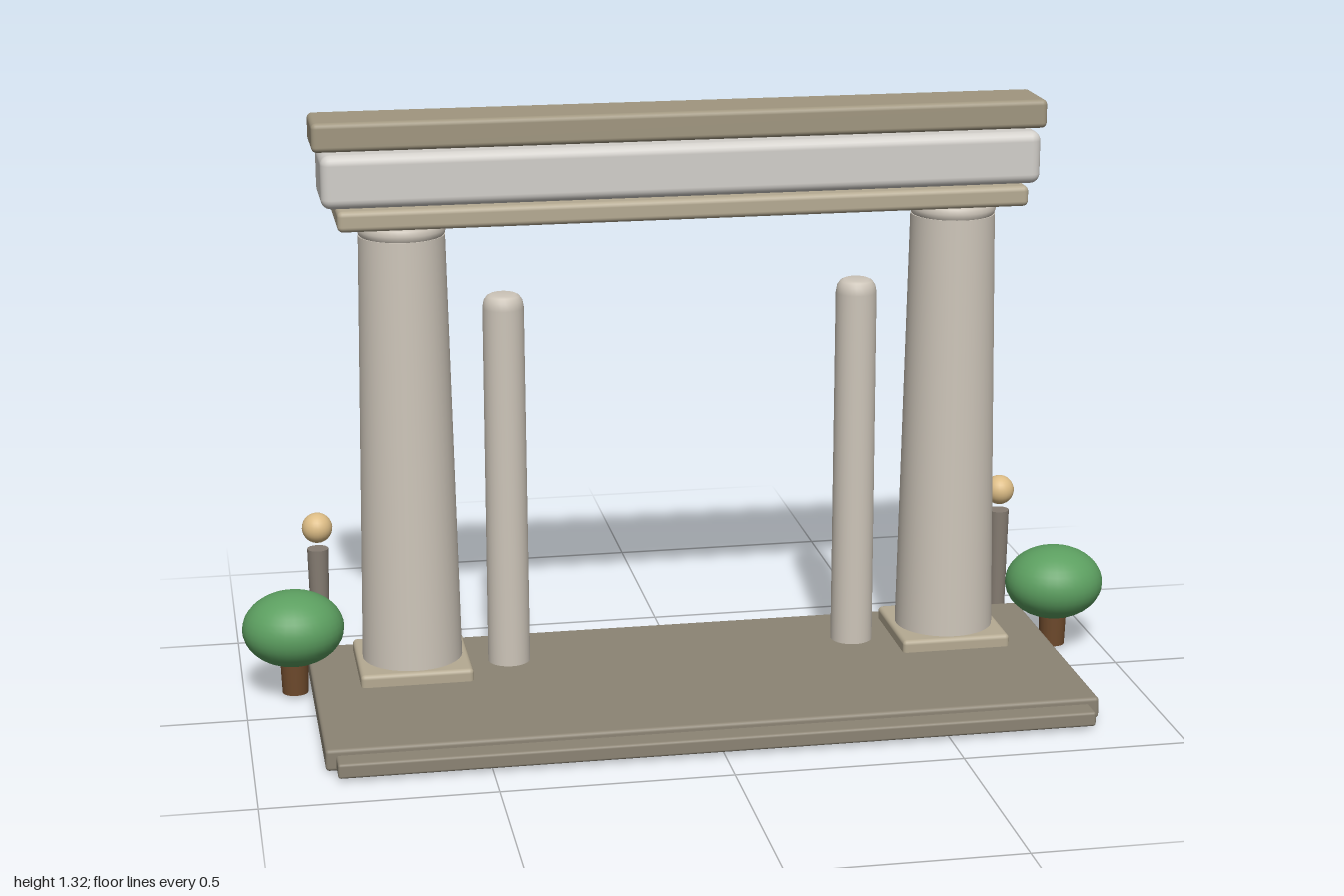
import * as THREE from 'three';
import { RoundedBoxGeometry } from 'three/addons/geometries/RoundedBoxGeometry.js';

const mat = (color) => new THREE.MeshStandardMaterial({ color });
const AXIS_Z = -0.135; // line on which columns, beams and shrubs stand

export function createModel() {
  const root = new THREE.Group();
  const stone = mat(0xcdc5b9), paleStone = mat(0xd2cfca), sand = mat(0xb5aa92);
  const cornice = mat(0xa0967f), paving = mat(0x8c8474), underside = mat(0x7a7156);
  const post = mat(0x857c72), glow = mat(0xdcbc85), leaf = mat(0x5c9f60), bark = mat(0x6e4a2c);

  const add = (parent, name, geometry, material, x = 0, y = 0, z = 0) => {
    const mesh = new THREE.Mesh(geometry, material);
    mesh.name = name;
    mesh.position.set(x, y, z);
    parent.add(mesh);
    return mesh;
  };
  // Softened block given by its width, vertical range and depth range
  const block = (parent, name, material, x, w, y0, y1, z0, z1, r) =>
    add(parent, name, new RoundedBoxGeometry(w, y1 - y0, z1 - z0, 3, r), material,
      x, (y0 + y1) / 2, (z0 + z1) / 2);
  const lathe = (points, segments = 40) =>
    new THREE.LatheGeometry(points.map(([r, y]) => new THREE.Vector2(r, y)), segments);

  // Platform with a low front step
  block(root, 'platform', paving, 0, 1.7, 0.006, 0.054, -0.303, 0.343, 0.008);
  block(root, 'frontStep', paving, 0, 1.655, 0.008, 0.041, 0.25, 0.394, 0.006);
  block(root, 'undersidePanel', underside, 0, 0.75, 0.003, 0.03, -0.14, 0.15, 0.003);

  // Three stacked beams
  block(root, 'lowerBeam', sand, 0, 1.53, 1.085, 1.131, -0.241, -0.024, 0.012);
  block(root, 'middleBeam', paleStone, 0, 1.594, 1.131, 1.249, -0.23, -0.04, 0.022);
  block(root, 'topBeam', cornice, 0, 1.626, 1.253, 1.317, -0.211, -0.058, 0.012);

  for (const [side, s] of [['left', 1], ['right', -1]]) {
    // Tapered main column on a square plinth, with a rounded neck ring
    const column = new THREE.Group();
    column.name = side + 'Column';
    column.position.set(0.62 * s, 0, AXIS_Z);
    root.add(column);
    block(column, 'plinth', sand, 0, 0.252, 0.045, 0.082, -0.126, 0.126, 0.01);
    add(column, 'shaft', new THREE.CylinderGeometry(0.095, 0.114, 1.055, 40), stone, 0, 0.5275);
    add(column, 'neckRing', lathe([[0, 1.05], [0.088, 1.05], [0.094, 1.057], [0.097, 1.068],
      [0.094, 1.079], [0.088, 1.086], [0, 1.086]]), stone);

    // Slender inner post with a rounded top
    add(root, side + 'InnerPost', lathe([[0, 0.004], [0.048, 0.004], [0.048, 0.004], [0.046, 0.88],
      [0.043, 0.897], [0.036, 0.907], [0.028, 0.911], [0, 0.911]], 28), stone, 0.4 * s, 0, AXIS_Z);

    // Lamp: flared post with a ball floating just above it
    const lamp = new THREE.Group();
    lamp.name = side + 'Lamp';
    lamp.position.set(0.813 * s, 0, -0.357);
    root.add(lamp);
    add(lamp, 'lampPost', new THREE.CylinderGeometry(0.0245, 0.0195, 0.263, 20), post, 0, 0.1405);
    add(lamp, 'lampBall', new THREE.SphereGeometry(0.035, 24, 16), glow, 0, 0.322);

    // Round shrub on a short trunk
    const shrub = new THREE.Group();
    shrub.name = side + 'Shrub';
    shrub.position.set(0.886 * s, 0, AXIS_Z);
    root.add(shrub);
    add(shrub, 'trunk', new THREE.CylinderGeometry(0.033, 0.029, 0.11, 20), bark, 0, 0.064);
    add(shrub, 'crown', new THREE.SphereGeometry(1, 32, 20), leaf, 0, 0.161)
      .scale.set(0.114, 0.085, 0.105);
  }
  return root;
}
